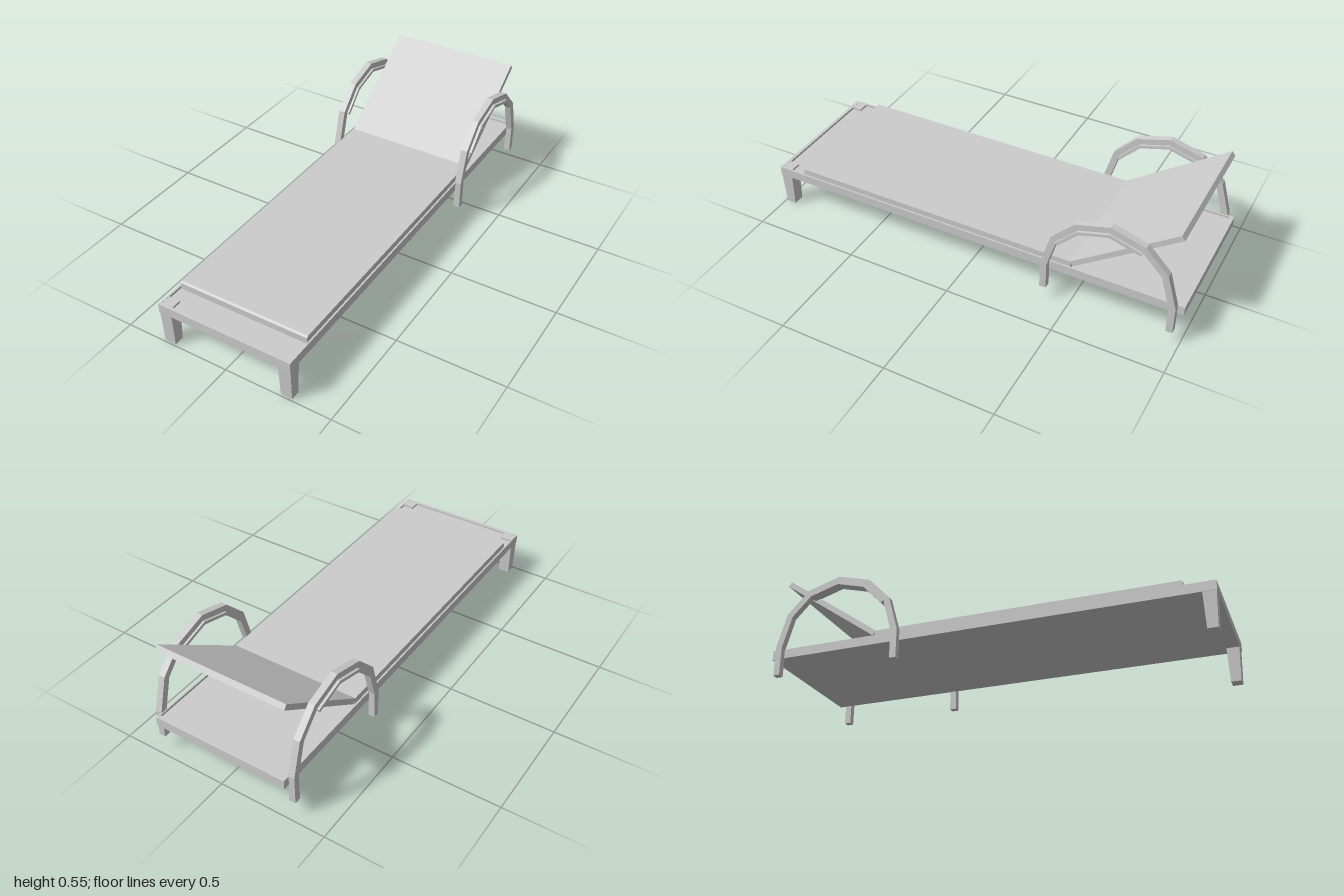
import * as THREE from 'three';

const material = new THREE.MeshStandardMaterial({ color: 0xcccccc, flatShading: true });

function add(parent, name, geometry, x = 0, y = 0, z = 0) {
  const mesh = new THREE.Mesh(geometry, material);
  mesh.name = name;
  mesh.position.set(x, y, z);
  parent.add(mesh);
  return mesh;
}

// Side outline given as [z, y] points, extruded across x and centred on x = 0
function sideExtrude(points, width) {
  const shape = new THREE.Shape(points.map(([z, y]) => new THREE.Vector2(z, y)));
  const geometry = new THREE.ExtrudeGeometry(shape, { depth: width, bevelEnabled: false });
  return geometry.translate(0, 0, -width / 2).rotateY(-Math.PI / 2);
}

// Mitred offset of an open polyline, to the left of its direction
function offset(path, d) {
  const pts = path.map(([a, b]) => new THREE.Vector2(a, b));
  const normal = (i) => {
    const t = pts[i + 1].clone().sub(pts[i]).normalize();
    return new THREE.Vector2(-t.y, t.x);
  };
  return pts.map((p, i) => {
    const n0 = normal(Math.max(i - 1, 0));
    const n1 = normal(Math.min(i, pts.length - 2));
    const m = n0.clone().add(n1).normalize();
    return [p.x + (m.x * d) / m.dot(n1), p.y + (m.y * d) / m.dot(n1)];
  });
}

// Closed outline between two offsets of a path
const band = (path, inner, outer) => [...offset(path, outer), ...offset(path, inner).reverse()];

export function createModel() {
  const group = new THREE.Group();
  group.name = 'sunLounger';

  // Bed frame: raised rim around a slightly recessed platform
  const rim = new THREE.Shape([[-0.32, -1], [0.32, -1], [0.32, 1], [-0.32, 1]].map((p) => new THREE.Vector2(...p)));
  rim.holes.push(new THREE.Path([[-0.312, -0.985], [-0.312, 0.982], [0.312, 0.982], [0.312, -0.985]].map((p) => new THREE.Vector2(...p))));
  const rimGeometry = new THREE.ExtrudeGeometry(rim, { depth: 0.043, bevelEnabled: false });
  rimGeometry.rotateX(-Math.PI / 2).scale(1, 1, 1);
  add(group, 'frameRim', rimGeometry, 0, 0.158, 0);
  add(group, 'platform', new THREE.BoxGeometry(0.626, 0.032, 1.97), 0, 0.174, 0);

  // Flat cushion with a small chamfer at the foot end
  add(group, 'cushion', sideExtrude([
    [0.868, 0.188], [0.868, 0.22], [0.86, 0.227], [-0.495, 0.227], [-0.495, 0.188],
  ], 0.62));

  // Raised backrest panel
  add(group, 'backrest', sideExtrude([
    [-0.49, 0.227], [-0.945, 0.55], [-0.96, 0.53], [-0.505, 0.206],
  ], 0.62));

  // Arch of each armrest, as [z, y] from back foot to front foot
  const arch = [
    [-0.955, 0.068], [-0.955, 0.2], [-0.912, 0.352], [-0.815, 0.452], [-0.67, 0.494],
    [-0.525, 0.452], [-0.428, 0.352], [-0.385, 0.2], [-0.385, 0.068],
  ].reverse();
  const padPath = arch.slice(2, 6);

  for (const side of [1, -1]) {
    const label = side > 0 ? 'left' : 'right';

    // Tapered front leg
    const leg = new THREE.BoxGeometry(0.06, 0.2, 0.06);
    const pos = leg.attributes.position;
    for (let i = 0; i < pos.count; i++) {
      if (pos.getY(i) < 0) {
        pos.setX(i, pos.getX(i) * 0.88);
        pos.setZ(i, pos.getZ(i) * 0.75);
      }
    }
    leg.computeVertexNormals();
    add(group, label + 'FrontLeg', leg, side * 0.289, 0.1, 0.969);

    // Armrest: bent arch that also forms the rear feet, with a wider pad on top
    const arm = new THREE.Group();
    arm.name = label + 'Armrest';
    group.add(arm);
    add(arm, 'arch', sideExtrude(band(arch, -0.015, 0.015), 0.03), side * 0.332);
    add(arm, 'armPad', sideExtrude(band(padPath, 0.013, 0.027), 0.052), side * 0.333);
  }
  return group;
}
